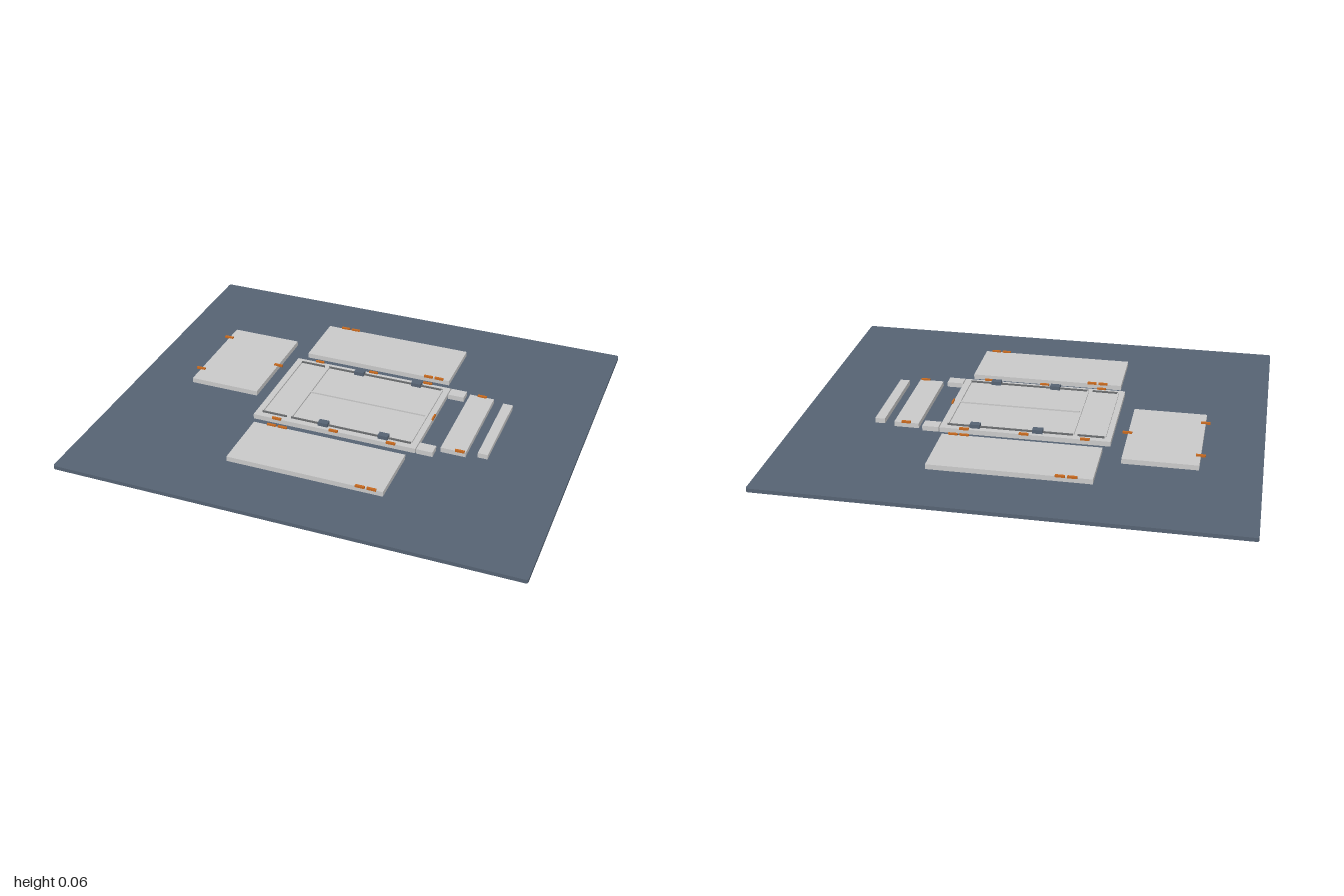
import * as THREE from 'three';

export function createModel() {
  const root = new THREE.Group();
  const mat = (name, color) => {
    const m = new THREE.MeshStandardMaterial({ color });
    m.name = name;
    return m;
  };
  const slate = mat('slate', 0x566373);
  const pale = mat('paleGrey', 0xcacaca);
  const groove = mat('darkGrey', 0x6a6c6e);
  const orange = mat('orange', 0xc8691e);

  // Box given by its extents on each axis
  const box = (name, material, [x0, x1], [y0, y1], [z0, z1], parent = root) => {
    const m = new THREE.Mesh(new THREE.BoxGeometry(x1 - x0, y1 - y0, z1 - z0), material);
    m.position.set((x0 + x1) / 2, (y0 + y1) / 2, (z0 + z1) / 2);
    m.name = name;
    parent.add(m);
    return m;
  };

  // Base board with softly rounded corners
  const W = 1, D = 0.845, r = 0.012;
  const outline = new THREE.Shape();
  outline.moveTo(-W + r, -D);
  outline.lineTo(W - r, -D);
  outline.quadraticCurveTo(W, -D, W, -D + r);
  outline.lineTo(W, D - r);
  outline.quadraticCurveTo(W, D, W - r, D);
  outline.lineTo(-W + r, D);
  outline.quadraticCurveTo(-W, D, -W, D - r);
  outline.lineTo(-W, -D + r);
  outline.quadraticCurveTo(-W, -D, -W + r, -D);
  const board = new THREE.Mesh(
    new THREE.ExtrudeGeometry(outline, { depth: 0.017, bevelEnabled: false, curveSegments: 4 }), slate);
  board.rotation.x = -Math.PI / 2;
  board.name = 'baseBoard';
  root.add(board);

  // Loose panels laid out around the centre
  const PY = [0.026, 0.048];
  box('backPanel', pale, [-0.342, 0.34], PY, [-0.578, -0.305]);
  box('frontPanel', pale, [-0.342, 0.34], PY, [0.3, 0.573]);
  box('rightPanel', pale, [-0.745, -0.43], PY, [-0.387, 0.078]);
  box('leftPanel', pale, [0.46, 0.568], PY, [-0.233, 0.2]);
  box('leftStrip', pale, [0.615, 0.658], PY, [-0.215, 0.183]);

  // Central tray with two projecting arms
  const tray = new THREE.Group();
  tray.name = 'centreTray';
  root.add(tray);
  box('trayPlate', pale, [-0.368, 0.365], PY, [-0.25, 0.247], tray);
  for (const z of [[-0.25, -0.198], [0.195, 0.247]]) box('trayArm', pale, [0.369, 0.44], PY, z, tray);

  // Thin raised ribs dividing the tray
  const RY = [0.048, 0.055];
  for (const x of [-0.34, -0.205, 0.335]) {
    box('crossRib', pale, [x - 0.004, x + 0.004], RY, [-0.215, 0.212], tray);
  }
  box('middleRib', pale, [-0.2, 0.335], RY, [-0.004, 0.004], tray);
  for (const z of [-0.22, 0.217]) {
    for (const x of [[-0.338, -0.225], [-0.205, 0.335]]) {
      box('sideRib', groove, x, RY, [z - 0.003, z + 0.003], tray);
    }
    // Latches straddling the side ribs
    for (const x of [-0.055, 0.215]) {
      box('latch', slate, [x - 0.022, x + 0.022], [0.048, 0.065], [z - 0.014, z + 0.014], tray);
    }
  }

  // Orange locating tabs on the panel edges: [x, z]
  const tabs = [
    [-0.26, -0.578], [-0.21, -0.578], [0.243, -0.305], [0.292, -0.305],
    [-0.26, 0.3], [-0.21, 0.3], [0.243, 0.573], [0.292, 0.573],
    [-0.26, -0.25], [0, -0.25], [0.257, -0.25],
    [-0.26, 0.247], [0, 0.247], [0.257, 0.247],
    [-0.745, -0.305], [-0.745, -0.008], [-0.427, -0.156],
    [0.515, -0.231], [0.543, 0.2],
  ];
  for (const [x, z] of tabs) {
    box('tab', orange, [x - 0.02, x + 0.02], [0.046, 0.055], [z - 0.005, z + 0.005]);
  }
  box('endTab', orange, [0.362, 0.369], [0.046, 0.055], [-0.02, 0.02]);

  return root;
}
